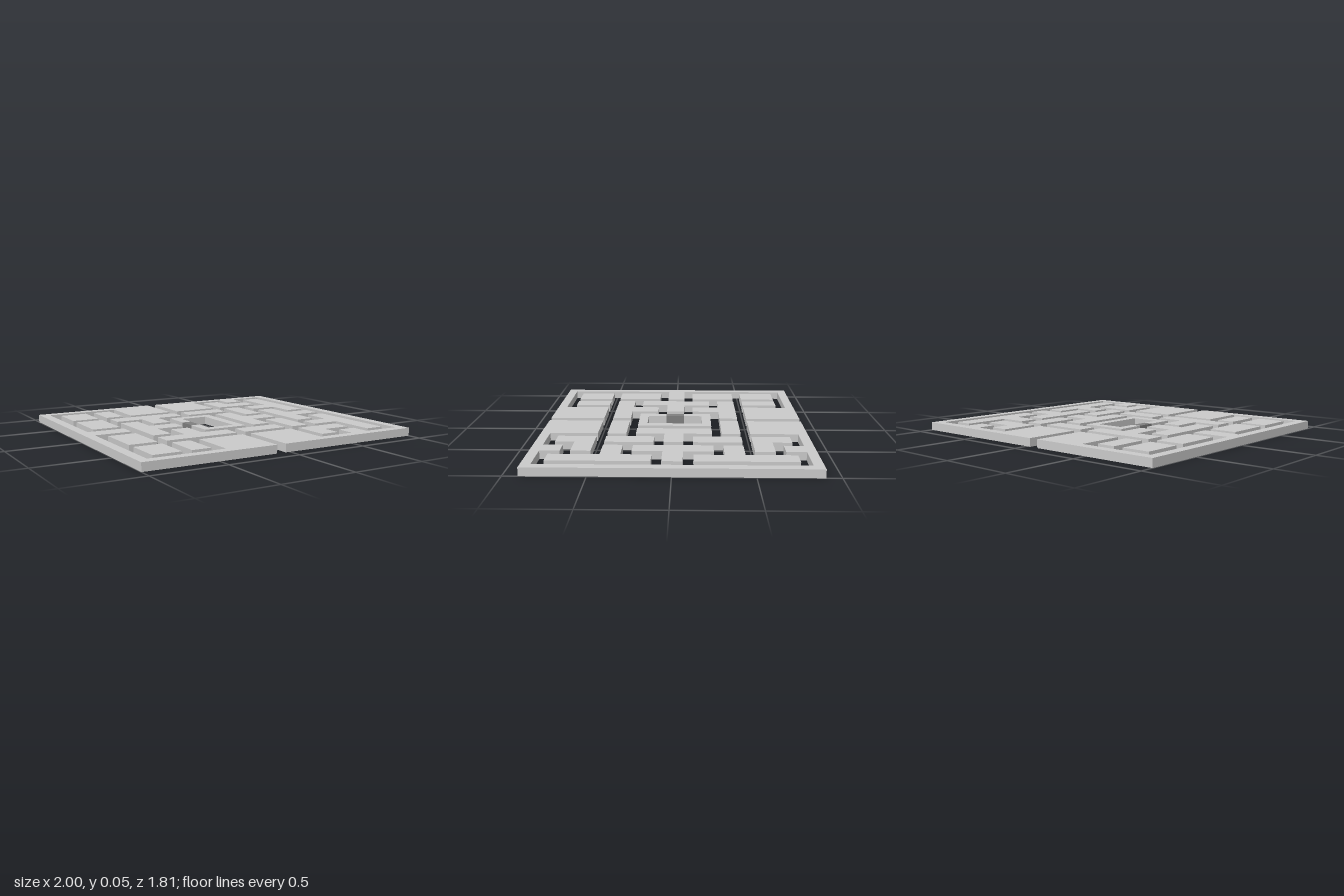
import * as THREE from 'three';

const COLS = 31, ROWS = 28, CELL = 2 / COLS, HEIGHT = 0.055;

export function createModel() {
  const group = new THREE.Group();
  group.name = 'mazeBoard';
  const wallMaterial = new THREE.MeshStandardMaterial({ color: 0xcccccc, flatShading: true });
  const gateMaterial = new THREE.MeshStandardMaterial({ color: 0x808080, flatShading: true });

  // Extrudes an outline given as [column, row] grid corners
  function addSlab(name, outline, material = wallMaterial) {
    const shape = new THREE.Shape(outline.map(([c, r]) =>
      new THREE.Vector2((c - COLS / 2) * CELL, (ROWS / 2 - r) * CELL)));
    const geometry = new THREE.ExtrudeGeometry(shape, { depth: HEIGHT, bevelEnabled: false });
    geometry.rotateX(-Math.PI / 2);
    const mesh = new THREE.Mesh(geometry, material);
    mesh.name = name;
    group.add(mesh);
  }

  const mirror = (points) => points.map(([c, r]) => [c, ROWS - r]).reverse();
  const rect = (c0, r0, c1, r1) => [[c0, r0], [c1, r0], [c1, r1], [c0, r1]];

  // Slabs that span the centre line: back half of the outline, then its mirror
  const spanning = {
    leftBorder: [[0, 0], [14, 0], [14, 6], [9, 6], [9, 1], [1, 1], [1, 13], [5, 13]],
    rightBorder: [[31, 0], [15, 0], [15, 6], [20, 6], [20, 1], [24, 1], [24, 3], [26, 3], [26, 1], [30, 1]],
  };
  [[6, 11], [18, 23], [24, 29]].forEach(([c, tip], i) => {
    spanning['centreTee' + (i + 1)] = [[c, 10], [c + 2, 10], [c + 2, 13], [tip, 13]];
  });
  for (const [name, half] of Object.entries(spanning)) addSlab(name, [...half, ...mirror(half)]);

  // Islands repeated on the back and front halves
  const islands = {
    wideBlock: rect(2, 2, 5, 6),
    narrowBlock: rect(6, 2, 8, 6),
    longBlock: rect(2, 7, 5, 12),
    crossBar: rect(15, 7, 20, 9),
    uprightBar: rect(21, 7, 23, 12),
    sideTee: [[6, 7], [14, 7], [14, 9], [11, 9], [11, 12], [9, 12], [9, 9], [6, 9]],
    cornerBlock: [[21, 2], [23, 2], [23, 4], [26, 4], [26, 6], [21, 6]],
    branchBlock: [[27, 2], [29, 2], [29, 12], [27, 12], [27, 9], [24, 9], [24, 7], [27, 7]],
  };
  for (const [name, outline] of Object.entries(islands)) {
    addSlab(name + 'Back', outline);
    addSlab(name + 'Front', mirror(outline));
  }

  // Central pen, open on one side, closed by a darker gate
  addSlab('centralPen', [[12, 13], [12, 10], [17, 10], [17, 18], [12, 18], [12, 15],
    [13, 15], [13, 17], [16, 17], [16, 11], [13, 11], [13, 13]]);
  addSlab('penGate', rect(12, 13, 13, 15), gateMaterial);

  return group;
}
